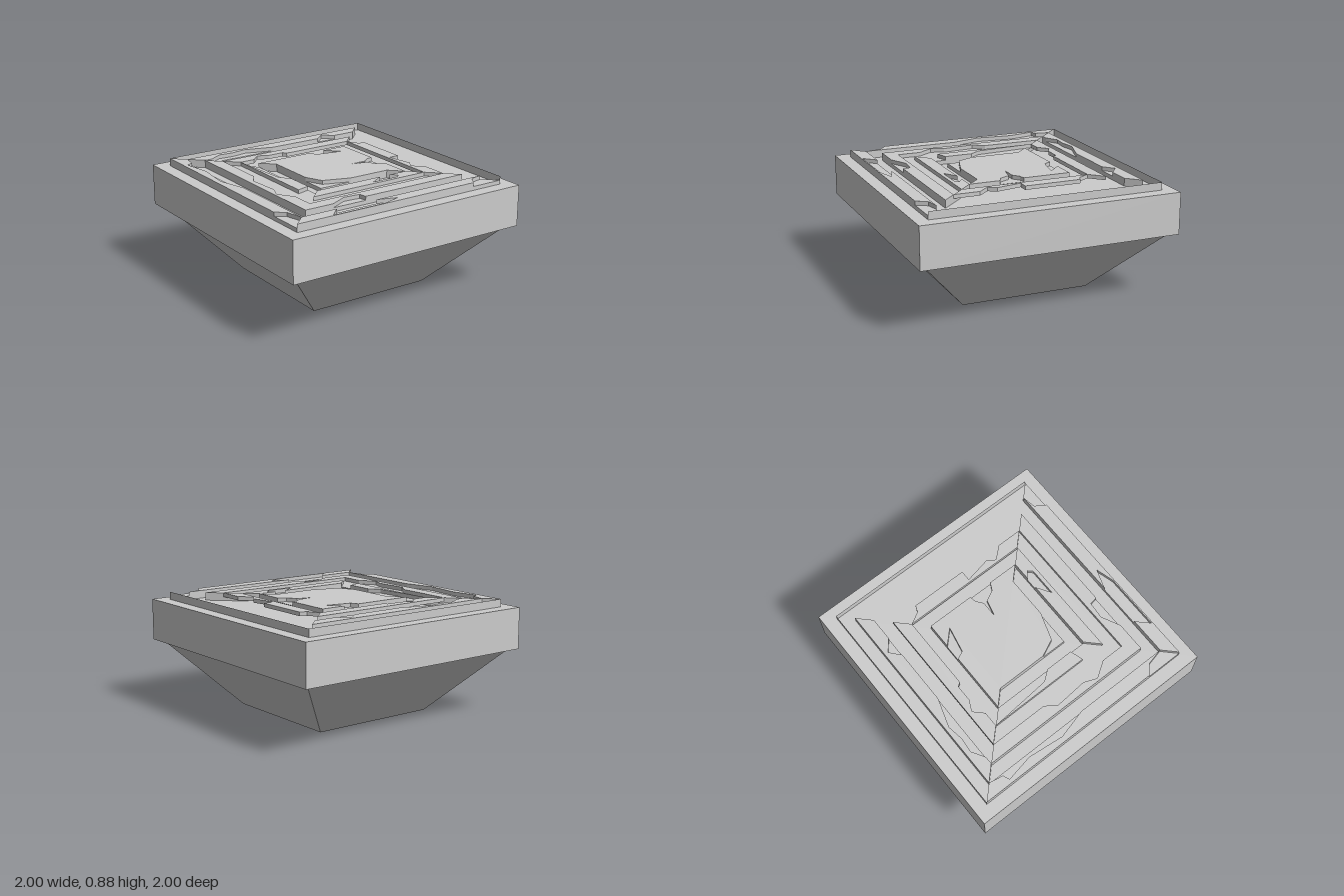
import * as THREE from 'three';

const FLOOR = 0.82, CHIP = 0.85, TOP = 0.88;
const stone = new THREE.MeshStandardMaterial({ color: 0xcccccc, flatShading: true });
const thin = new THREE.MeshStandardMaterial({ color: 0xcccccc, flatShading: true, side: THREE.DoubleSide });

// Upright prism from a plan outline of [x, z] corners
function prism(name, outline, y0, y1) {
  const shape = new THREE.Shape(outline.map(([x, z]) => new THREE.Vector2(x, z)));
  const geo = new THREE.ExtrudeGeometry(shape, { depth: y1 - y0, bevelEnabled: false });
  geo.rotateX(Math.PI / 2).translate(0, y1, 0);
  const mesh = new THREE.Mesh(geo, stone);
  mesh.name = name;
  return mesh;
}

// A ridge is a whole lower layer and an upper layer with pieces chipped away
function ridge(name, whole, chippedParts) {
  const group = new THREE.Group();
  group.name = name;
  group.add(prism(name + 'Lower', whole, FLOOR, CHIP));
  for (const part of chippedParts) group.add(prism(name + 'Upper', part, CHIP, TOP));
  return group;
}

// L-shaped plan along the left and front of the ring between a and b (mirrored: back and right)
const ell = (a, b, s = 1) => [
  [-a, -a], [-b, -b], [-b, b], [b, b], [a, a], [-a, a],
].map(([x, z]) => (s > 0 ? [x, z] : [-z, -x]));

export function createModel() {
  const model = new THREE.Group();

  // Tapered underside
  const foot = new THREE.CylinderGeometry(0.95 * Math.SQRT2, 0.5 * Math.SQRT2, 0.5, 4);
  foot.rotateY(Math.PI / 4).translate(0, 0.25, 0);
  const base = new THREE.Mesh(foot, stone);
  base.name = 'taperedBase';
  model.add(base);

  // Square slab
  const slab = new THREE.Mesh(new THREE.BoxGeometry(2, FLOOR - 0.5, 2), stone);
  slab.name = 'slab';
  slab.position.y = (FLOOR + 0.5) / 2;
  model.add(slab);

  // Thin border walls at the right and back
  for (const [name, x, z, turn] of [['rightBorder', 0.9, 0, Math.PI / 2], ['backBorder', 0, -0.9, Math.PI]]) {
    const wall = new THREE.Mesh(new THREE.PlaneGeometry(1.8, TOP - FLOOR), thin);
    wall.name = name;
    wall.position.set(x, (TOP + FLOOR) / 2, z);
    wall.rotation.y = turn;
    model.add(wall);
  }

  // Ridges from the outside in
  model.add(ridge('outerRidge', ell(0.9, 0.8), [
    [[-0.9, -0.9], [-0.8, -0.8], [-0.82, -0.69], [-0.87, -0.67], [-0.83, -0.46], [-0.86, -0.18],
      [-0.8, 0.05], [-0.8, 0.8], [-0.83, 0.67], [-0.9, 0.61]],
    [[-0.9, 0.9], [-0.8, 0.8], [-0.51, 0.8], [-0.6, 0.89], [-0.16, 0.89], [-0.02, 0.85],
      [-0.17, 0.8], [0.79, 0.8], [0.69, 0.82], [0.64, 0.9]],
  ]));
  model.add(ridge('backRidge', [[-0.8, -0.8], [0.8, -0.8], [0.7, -0.7], [-0.7, -0.7]], [
    [[-0.8, -0.8], [0.8, -0.8], [0.7, -0.7], [0.52, -0.7], [0.43, -0.77], [0.35, -0.7], [-0.08, -0.7],
      [-0.3, -0.77], [-0.43, -0.75], [-0.54, -0.76], [-0.64, -0.7], [-0.7, -0.7]],
  ]));
  model.add(ridge('middleFrontRidge', ell(0.7, 0.6), [
    [[-0.7, -0.7], [-0.6, -0.6], [-0.6, -0.14], [-0.66, -0.05], [-0.64, 0.2], [-0.68, 0.3], [-0.6, 0.42],
      [-0.6, 0.6], [0.6, 0.6], [0.7, 0.7], [-0.19, 0.7], [-0.2, 0.64], [-0.33, 0.63], [-0.47, 0.7], [-0.7, 0.7]],
  ]));
  model.add(ridge('middleBackRidge', ell(0.6, 0.5, -1), [
    [[-0.6, -0.6], [0.6, -0.6], [0.5, -0.5], [-0.08, -0.5], [-0.1, -0.53], [-0.23, -0.53],
      [-0.31, -0.57], [-0.38, -0.5], [-0.5, -0.5]],
    [[0.6, -0.39], [0.55, -0.41], [0.5, -0.5], [0.5, 0.5], [0.6, 0.6], [0.6, 0.4],
      [0.52, 0.31], [0.56, 0.25], [0.52, 0.05], [0.6, 0.05]],
  ]));
  model.add(ridge('innerFrontRidge', ell(0.5, 0.4), [
    [[-0.5, -0.5], [-0.46, -0.02], [-0.4, 0.06], [-0.4, 0.28], [-0.5, 0.31]],
    [[-0.5, 0.5], [-0.4, 0.4], [0.16, 0.4], [0.05, 0.47], [0.27, 0.47], [0.3, 0.44],
      [0.25, 0.4], [0.4, 0.4], [0.5, 0.5]],
  ]));

  // Central plateau
  model.add(ridge('plateau', [[-0.4, -0.4], [0.4, -0.4], [0.4, 0.4], [0.3, 0.3], [-0.3, 0.3], [-0.3, -0.3]], [
    [[-0.4, -0.4], [0.07, -0.4], [0.1, -0.34], [0.3, -0.3], [0.2, -0.4], [0.4, -0.4],
      [0.4, -0.03], [0.35, -0.02], [0.3, 0.02], [0.17, 0.02], [0.3, 0.05], [0.34, 0.13], [0.4, 0.16],
      [0.4, 0.4], [0.3, 0.3], [-0.03, 0.3], [-0.24, 0.23], [-0.3, 0.1], [-0.3, -0.3]],
  ]));

  return model;
}
